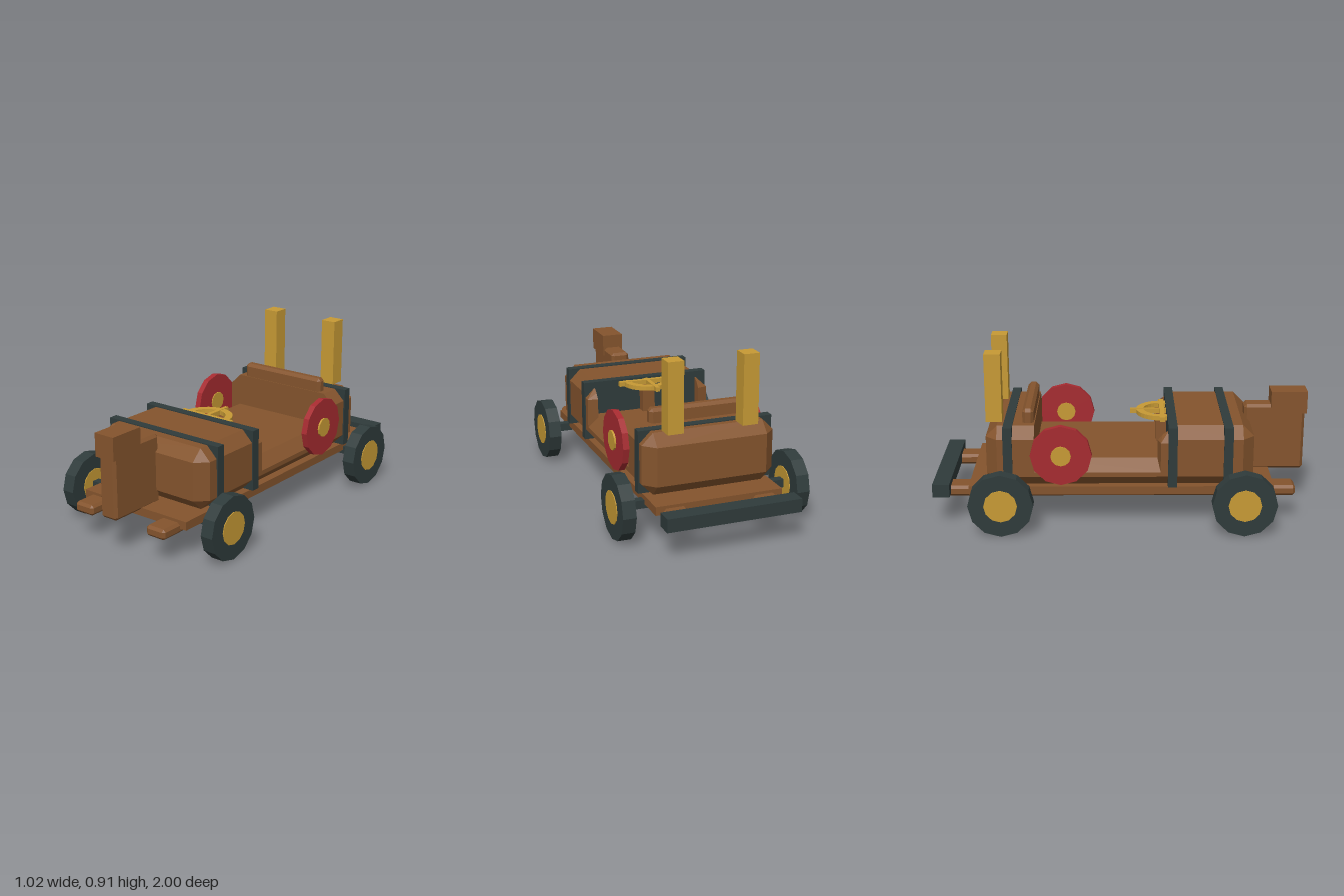
import * as THREE from 'three';
import { ConvexGeometry } from 'three/addons/geometries/ConvexGeometry.js';

export function createModel() {
  const model = new THREE.Group();
  model.name = 'woodenCart';

  const mat = (name, color) => Object.assign(new THREE.MeshStandardMaterial({ color, flatShading: true }), { name });
  const wood = mat('wood', 0x84542d);
  const iron = mat('darkIron', 0x2f3b3b);
  const gold = mat('gold', 0xc79a35);
  const red = mat('red', 0xa62b30);

  const add = (name, geometry, material, parent = model) => {
    const mesh = new THREE.Mesh(geometry, material);
    mesh.name = name;
    parent.add(mesh);
    return mesh;
  };
  // Box given by its limits on each axis
  const box = (name, material, [x0, x1], [y0, y1], [z0, z1], parent) => {
    const g = new THREE.BoxGeometry(x1 - x0, y1 - y0, z1 - z0);
    g.translate((x0 + x1) / 2, (y0 + y1) / 2, (z0 + z1) / 2);
    return add(name, g, material, parent);
  };
  const hull = (name, material, points) =>
    add(name, new ConvexGeometry(points.map(p => new THREE.Vector3(...p))), material);
  // Box with all edges cut at 45 degrees
  const bevelBox = (name, material, [x0, x1], [y0, y1], [z0, z1], c) => {
    const pts = [];
    for (const [x, sx] of [[x0, 1], [x1, -1]])
      for (const [y, sy] of [[y0, 1], [y1, -1]])
        for (const [z, sz] of [[z0, 1], [z1, -1]])
          pts.push([x, y + sy * c, z + sz * c], [x + sx * c, y, z + sz * c], [x + sx * c, y + sy * c, z]);
    return hull(name, material, pts);
  };
  // Twelve-sided disc with its axis along x
  const disc = (name, material, r, x0, x1, y, z) => {
    const g = new THREE.CylinderGeometry(r, r, Math.abs(x1 - x0), 12);
    g.rotateZ(Math.PI / 2);
    g.translate((x0 + x1) / 2, y, z);
    return add(name, g, material);
  };

  // Chassis
  box('floorPlate', wood, [-0.34, 0.34], [0.17, 0.215], [-0.81, 0.8]);
  for (const s of [-1, 1])
    bevelBox('chassisRail', wood, [s * 0.24 - 0.06, s * 0.24 + 0.06], [0.143, 0.2], [-0.93, 0.92], 0.014);
  box('rearBumper', iron, [-0.355, 0.355], [0.16, 0.23], [-1, -0.91]);

  // Body: bonnet, low middle and rear block, with chamfered edges
  const endBlock = (name, zCut, zFull, zEnd) => {
    const pts = [];
    for (const s of [-1, 1]) {
      for (const z of [zCut, zFull])
        pts.push([s * 0.295, 0.54, z], [s * 0.355, 0.48, z], [s * 0.355, 0.275, z], [s * 0.295, 0.215, z]);
      pts.push([s * 0.295, 0.48, zEnd], [s * 0.295, 0.275, zEnd]);
    }
    hull(name, wood, pts);
  };
  endBlock('bonnet', 0.243, 0.63, 0.69);
  endBlock('rearBody', -0.46, -0.655, -0.715);
  const tub = [];
  for (const s of [-1, 1])
    for (const z of [-0.48, 0.26])
      tub.push([s * 0.295, 0.36, z], [s * 0.355, 0.3, z], [s * 0.355, 0.275, z], [s * 0.295, 0.215, z]);
  hull('cockpitFloor', wood, tub);

  // Side posts behind the dashboard
  for (const s of [-1, 1]) {
    const pts = [];
    for (const y of [0.28, 0.46])
      pts.push([s * 0.3, y, 0.185], [s * 0.355, y, 0.2], [s * 0.355, y, 0.245], [s * 0.3, y, 0.245]);
    pts.push([s * 0.3, 0.515, 0.245], [s * 0.3, 0.49, 0.21]);
    hull('dashboardPost', wood, pts);
  }

  // Iron bands; the middle one also closes the dashboard
  for (const z of [0.553, 0.263, -0.598])
    box('ironBand', iron, [-0.362, 0.362], [0.217, 0.545], [z - 0.024, z + 0.024]);

  // Figurehead post
  bevelBox('frontPost', wood, [-0.053, 0.053], [0.203, 0.572], [0.66, 0.99], 0.015);
  box('frontPostHead', wood, [-0.06, 0.06], [0.525, 0.648], [0.805, 1]);

  // Seat headrest and rear chimneys
  bevelBox('headrest', wood, [-0.26, 0.26], [0.5, 0.615], [-0.525, -0.465], 0.016);
  for (const s of [-1, 1])
    box('chimney', gold, [s * 0.2 - 0.042, s * 0.2 + 0.042], [0.54, 0.908], [-0.718, -0.632]);

  // Steering wheel and column
  box('steeringColumn', wood, [-0.035, 0.035], [0.34, 0.51], [0.185, 0.25]);
  const wheel = new THREE.Group();
  wheel.name = 'steeringWheel';
  wheel.position.set(0, 0.512, 0.215);
  model.add(wheel);
  const rim = new THREE.Shape().absarc(0, 0, 0.138, 0, Math.PI * 2);
  rim.holes.push(new THREE.Path().absarc(0, 0, 0.1, 0, Math.PI * 2, true));
  const rimGeometry = new THREE.ExtrudeGeometry(rim, { depth: 0.024, bevelEnabled: false, curveSegments: 16 });
  rimGeometry.rotateX(-Math.PI / 2);
  add('steeringRim', rimGeometry, gold, wheel);
  box('steeringSpoke', gold, [-0.165, 0.165], [0.001, 0.026], [-0.013, 0.013], wheel);
  box('steeringSpoke', gold, [-0.011, 0.011], [0.001, 0.026], [-0.173, 0.1], wheel);

  // Round shields beside the seat
  for (const s of [-1, 1]) {
    disc('shield', red, 0.161, s * 0.355, s * 0.388, 0.403, -0.32);
    disc('shieldBoss', gold, 0.053, s * 0.35, s * 0.398, 0.403, -0.32);
  }

  // Axles and wheels
  for (const z of [0.633, -0.63]) {
    box('axle', iron, [-0.44, 0.44], [0.148, 0.192], [z - 0.022, z + 0.022]);
    for (const s of [-1, 1]) {
      disc('wheel', iron, 0.17, s * 0.434, s * 0.504, 0.17, z);
      disc('wheelHub', gold, 0.087, s * 0.43, s * 0.508, 0.17, z);
    }
  }
  return model;
}
